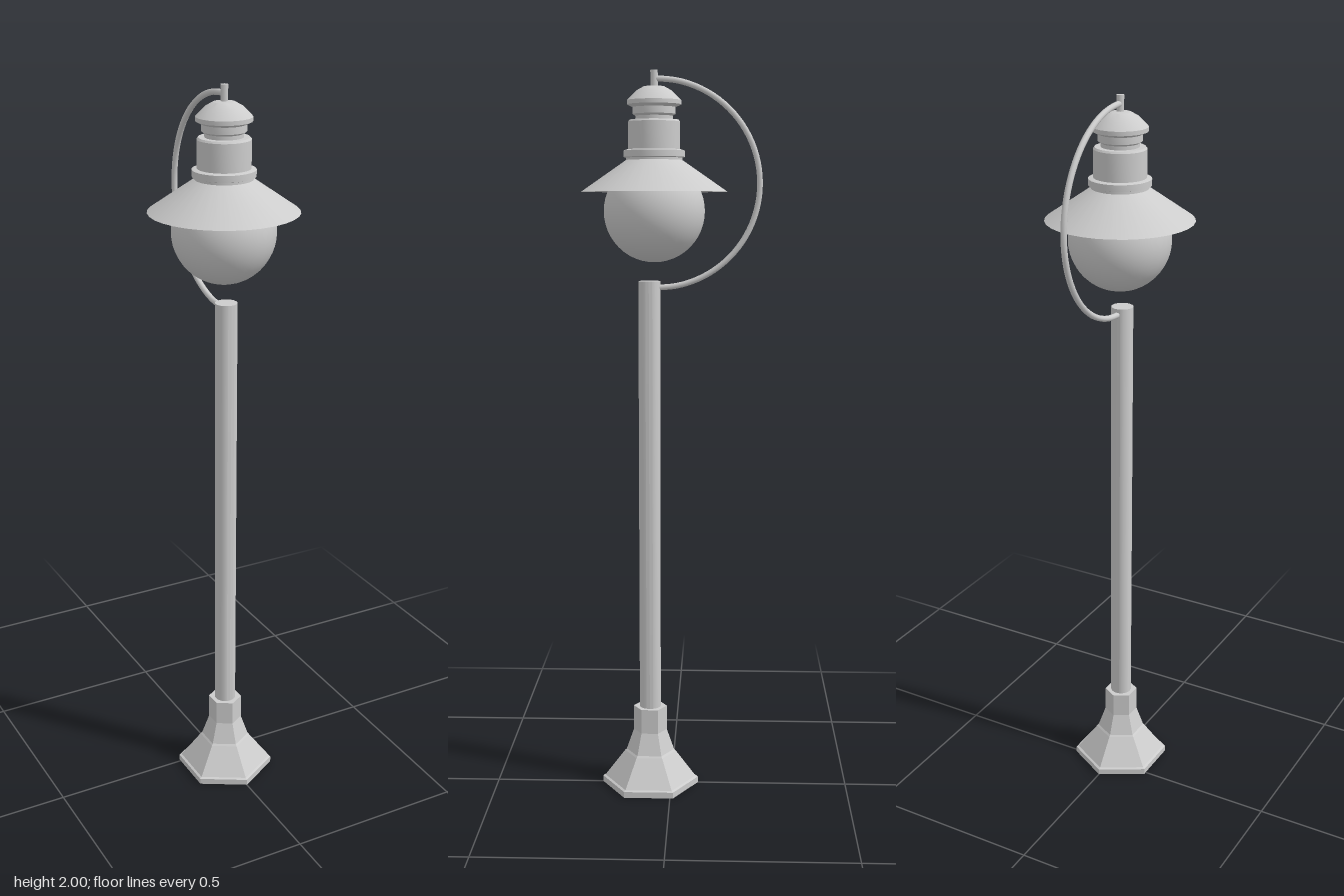
import * as THREE from 'three';
import { toCreasedNormals } from 'three/addons/utils/BufferGeometryUtils.js';

const POLE_Z = 0.06;
const LAMP_Z = 0.046;

export function createModel() {
  const group = new THREE.Group();
  const metal = new THREE.MeshStandardMaterial({ color: 0xcccccc });
  metal.name = 'light grey metal';
  const shadeMetal = metal.clone();
  shadeMetal.side = THREE.DoubleSide;

  const add = (name, geometry, z, y = 0, material = metal) => {
    const mesh = new THREE.Mesh(geometry, material);
    mesh.name = name;
    mesh.position.set(0, y, z);
    group.add(mesh);
  };

  // Turned part from [radius, height] pairs, listed bottom to top
  const turned = (profile, sides, crease = 0.4) =>
    toCreasedNormals(
      new THREE.LatheGeometry(profile.map(([r, y]) => new THREE.Vector2(r, y)), sides),
      crease
    );

  // Hexagonal stepped foot, one corner facing front
  add('base', turned([
    [0, 0], [0.137, 0], [0.137, 0.017], [0.13, 0.02], [0.073, 0.095],
    [0.068, 0.1], [0.047, 0.16], [0.047, 0.23], [0, 0.23],
  ], 6, 0.1), POLE_Z);

  // Straight post
  add('pole', turned([[0, 0.2], [0.03, 0.2], [0.03, 1.44], [0, 1.44]], 20), POLE_Z);

  // Half-circle arm sweeping behind the lamp
  const arc = [];
  for (let i = 0; i <= 16; i++) {
    const a = -Math.PI / 2 + (Math.PI * i) / 16;
    arc.push(new THREE.Vector3(0, 1.7 + 0.278 * Math.sin(a), 0.04 - 0.279 * Math.cos(a)));
  }
  arc.push(new THREE.Vector3(0, 1.978, LAMP_Z));
  add('arm', new THREE.TubeGeometry(new THREE.CatmullRomCurve3(arc), 48, 0.008, 10), 0);

  // Hanging rod above the cap
  add('hangerRod', new THREE.CylinderGeometry(0.01, 0.01, 0.06, 10), LAMP_Z, 1.97);

  // Domed cap with a narrow neck under it
  add('cap', turned([
    [0, 1.868], [0.05, 1.868], [0.05, 1.88], [0.058, 1.885], [0.058, 1.903],
    [0.073, 1.91], [0.073, 1.921], [0.048, 1.946], [0.028, 1.957], [0, 1.96],
  ], 24), LAMP_Z);

  // Lamp housing and its collar
  add('housing', turned([
    [0, 1.77], [0.07, 1.77], [0.07, 1.865], [0.066, 1.87], [0, 1.87],
  ], 32), LAMP_Z);
  add('collar', turned([
    [0.076, 1.755], [0.076, 1.77], [0.083, 1.772], [0.083, 1.789],
    [0.074, 1.792], [0, 1.792],
  ], 32), LAMP_Z);

  // Open conical shade
  add('shade', turned([[0.198, 1.68], [0.076, 1.764]], 32), LAMP_Z, 0, shadeMetal);

  // Round globe
  add('globe', new THREE.SphereGeometry(0.137, 32, 24), LAMP_Z, 1.628);

  return group;
}
